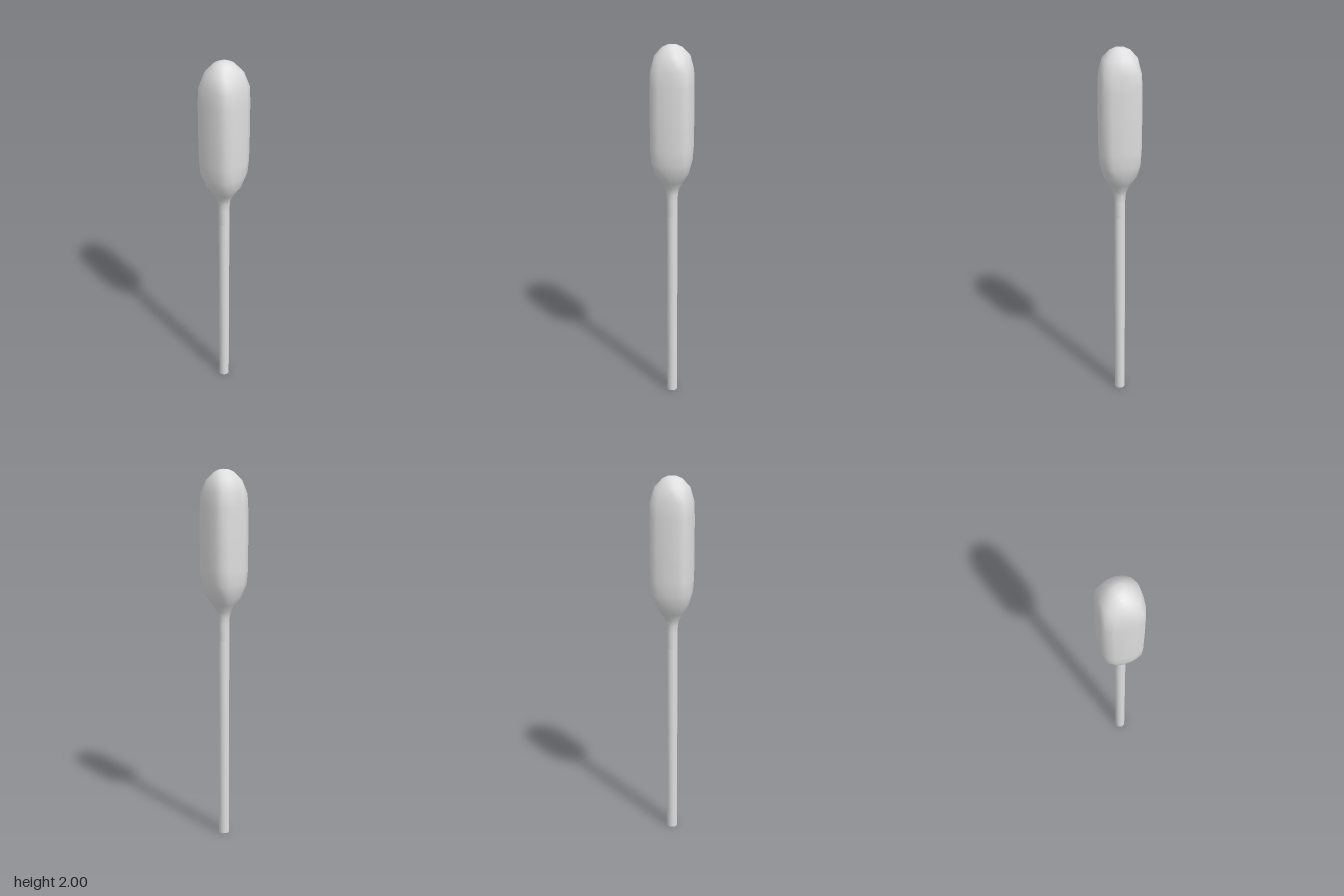
import * as THREE from 'three';
import { mergeVertices } from 'three/addons/utils/BufferGeometryUtils.js';

// Points over one eighth of the rounded-square section, at 0, 22.5 and 45 degrees
const SQUARE = [[1, 0], [0.97, 0.49], [0.83, 0.83]];

// Unit offset [x, z] of section point i (of 16) on the rounded square
function squarePoint(i) {
  const quarter = Math.floor(i / 4), k = i % 4;
  const [a, b] = k <= 2 ? SQUARE[k] : [SQUARE[1][1], SQUARE[1][0]];
  const t = quarter * Math.PI / 2, s = Math.sin(t), c = Math.cos(t);
  return [b * c + a * s, a * c - b * s];
}

// Lathe of [radius, y, squareness] rings; squareness blends circle to rounded square
function loft(rings) {
  const n = rings.length;
  const lathe = new THREE.LatheGeometry(rings.map(([r, y]) => new THREE.Vector2(r, y)), 16);
  const pos = lathe.attributes.position;
  for (let i = 0; i <= 16; i++) {
    const phi = (i % 16) * Math.PI / 8;
    const [sx, sz] = squarePoint(i % 16);
    for (let j = 0; j < n; j++) {
      const [r, y, q] = rings[j];
      pos.setXYZ(i * n + j,
        r * THREE.MathUtils.lerp(Math.sin(phi), sx, q), y,
        r * THREE.MathUtils.lerp(Math.cos(phi), sz, q));
    }
  }
  // Weld the seam so that shading is smooth all round
  lathe.deleteAttribute('uv');
  lathe.deleteAttribute('normal');
  const geometry = mergeVertices(lathe, 1e-5);
  geometry.computeVertexNormals();
  return geometry;
}

export function createModel() {
  const group = new THREE.Group();
  group.name = 'dropper';
  const plastic = new THREE.MeshStandardMaterial({ color: 0xdedede, side: THREE.DoubleSide });
  plastic.name = 'pale grey plastic';

  const add = (name, rings) => {
    const mesh = new THREE.Mesh(loft(rings), plastic);
    mesh.name = name;
    group.add(mesh);
  };

  // Thin tube, open at the bottom
  add('stem', [[0.029, 0, 0], [0.029, 1.1, 0]]);

  // Squeeze bulb with flared neck, squarish body and domed top
  add('bulb', [
    [0.029, 1.1, 0], [0.029, 1.19, 0], [0.031, 1.23, 0], [0.039, 1.26, 0],
    [0.06, 1.295, 0.1], [0.088, 1.34, 0.5], [0.104, 1.405, 0.9], [0.108, 1.48, 1],
    [0.109, 1.64, 1], [0.108, 1.8, 1], [0.105, 1.875, 0.95], [0.09, 1.945, 0.25],
    [0.05, 1.986, 0], [0.025, 1.997, 0], [0, 2, 0],
  ]);
  return group;
}
